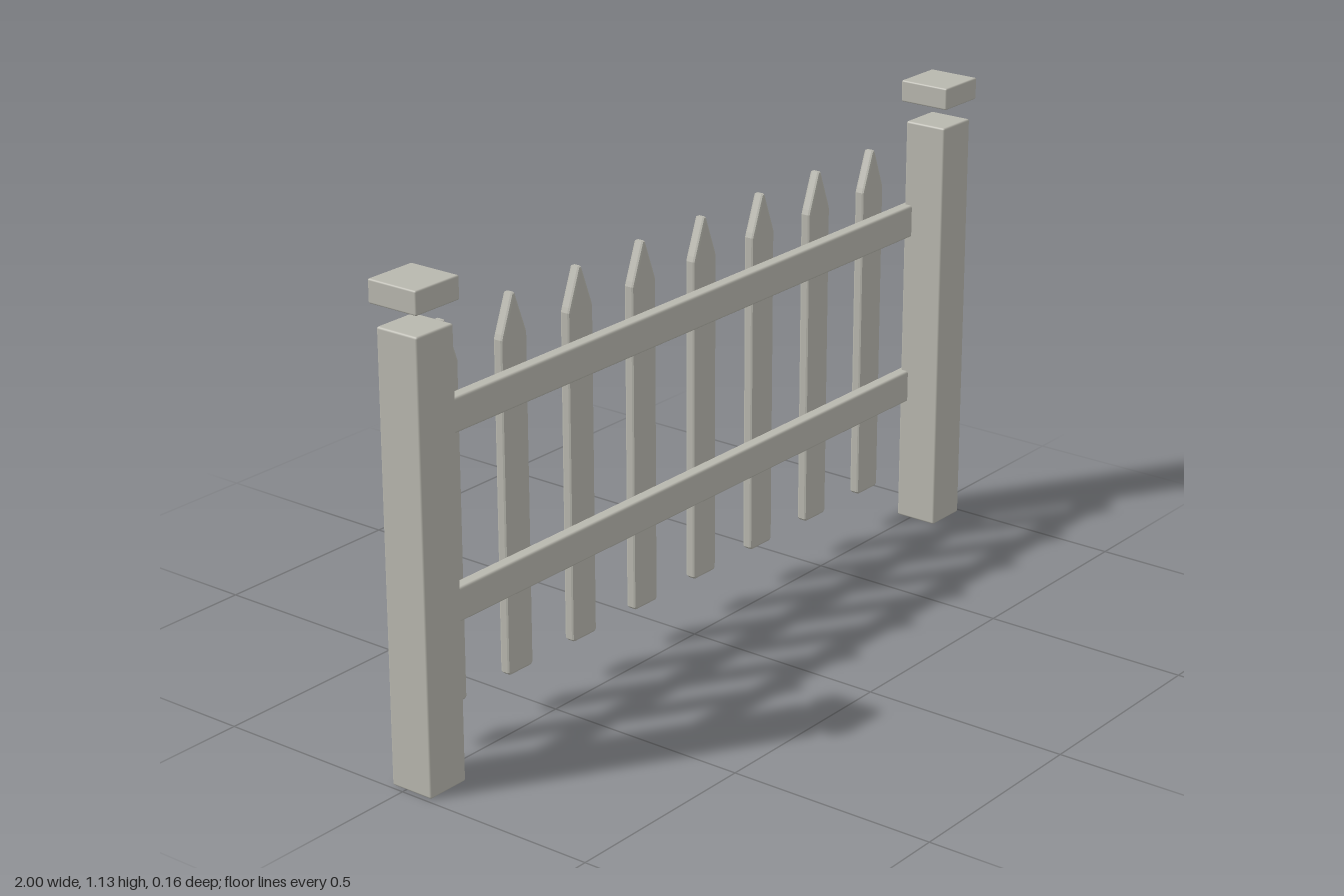
import * as THREE from 'three';
import { RoundedBoxGeometry } from 'three/addons/geometries/RoundedBoxGeometry.js';

const wood = new THREE.MeshStandardMaterial({ color: 0xb8b7ae });
wood.name = 'weathered grey wood';

function add(parent, name, geometry, x, y, z) {
  const mesh = new THREE.Mesh(geometry, wood);
  mesh.name = name;
  mesh.position.set(x, y, z);
  parent.add(mesh);
}

// Pointed board with clipped bottom corners and softened edges, base at y = 0
function picketGeometry(width, height, shoulder, depth) {
  const bevel = 0.006, w = width / 2, c = 0.006;
  const shape = new THREE.Shape([
    [-w + c, 0], [w - c, 0], [w, c], [w, shoulder - 0.008], [w - 0.004, shoulder + 0.004],
    [0.004, height], [-0.004, height],
    [-w + 0.004, shoulder + 0.004], [-w, shoulder - 0.008], [-w, c],
  ].map(([x, y]) => new THREE.Vector2(x, y)));
  const geometry = new THREE.ExtrudeGeometry(shape, {
    depth: depth - 2 * bevel, bevelEnabled: true, bevelThickness: bevel,
    bevelSize: bevel, bevelOffset: -bevel, bevelSegments: 2,
  });
  return geometry.translate(0, 0, bevel - depth / 2);
}

export function createModel() {
  const fence = new THREE.Group();
  fence.name = 'picketFence';

  // End posts with floating caps
  const post = new RoundedBoxGeometry(0.11, 1.03, 0.11, 2, 0.005);
  const cap = new RoundedBoxGeometry(0.13, 0.053, 0.13, 2, 0.004);
  for (const [side, label] of [[1, 'left'], [-1, 'right']]) {
    add(fence, label + 'Post', post, side * 0.935, 0.515, 0.017);
    add(fence, label + 'PostCap', cap, side * 0.935, 1.106, 0.017);
  }

  // Horizontal rails, ending inside the backs of the posts
  const rail = new RoundedBoxGeometry(1.87, 0.08, 0.032, 2, 0.006);
  add(fence, 'lowerRail', rail, 0, 0.35, -0.032);
  add(fence, 'upperRail', rail, 0, 0.78, -0.032);

  // Row of pickets behind the rails
  const picket = picketGeometry(0.081, 0.88, 0.79, 0.027);
  for (let i = 0; i < 8; i++) {
    add(fence, 'picket' + (i + 1), picket, (i - 3.5) * 0.22, 0.098, -0.0675);
  }
  return fence;
}
